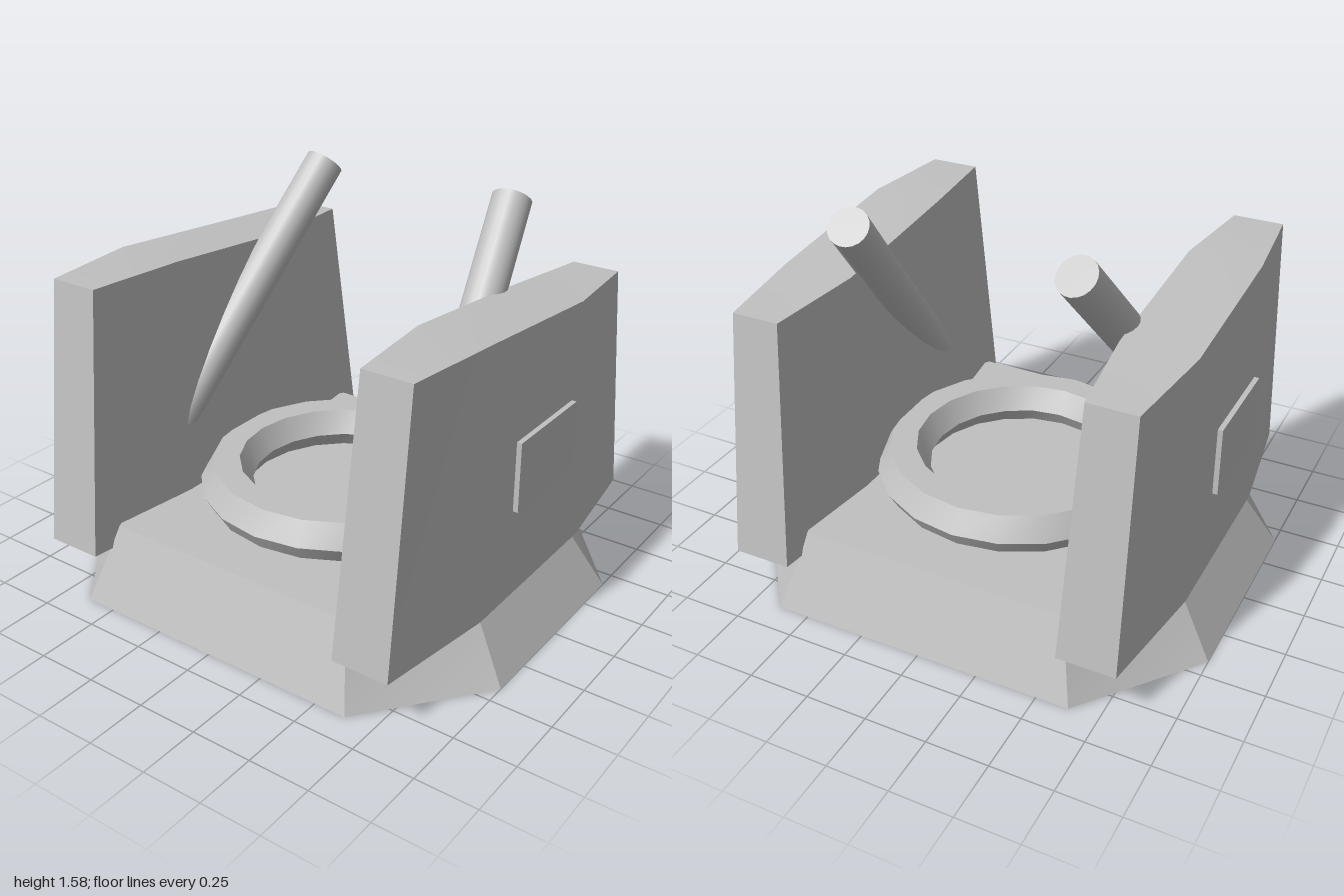
import * as THREE from 'three';
import { toCreasedNormals } from 'three/addons/utils/BufferGeometryUtils.js';

// Solid between two outlines, each a list of rows [z, y, xMin, xMax] from front to back.
function loft(lower, upper, crease) {
  const loop = rows => [
    ...rows.map(([z, y, , x]) => [x, y, z]),
    ...[...rows].reverse().map(([z, y, x]) => [x, y, z]),
  ];
  const n = lower.length * 2;
  const positions = [...loop(lower), ...loop(upper)].flat();
  const index = [];
  const quad = (a, b, c, d) => index.push(a, b, c, a, c, d);
  for (let i = 0; i < n; i++) {
    const j = (i + 1) % n;
    quad(i, j, n + j, n + i);
  }
  for (let i = 0; i < lower.length - 1; i++) {
    const corners = [i, i + 1, n - 2 - i, n - 1 - i];
    quad(...corners.map(k => k + n));
    quad(...[...corners].reverse());
  }
  const geometry = new THREE.BufferGeometry();
  geometry.setAttribute('position', new THREE.Float32BufferAttribute(positions, 3));
  geometry.setIndex(index);
  return toCreasedNormals(geometry, crease);
}

export function createModel() {
  const model = new THREE.Group();
  const grey = new THREE.MeshStandardMaterial({ color: 0xc0c0c0 });
  grey.name = 'plain grey';

  const add = (name, geometry) => {
    const mesh = new THREE.Mesh(geometry, grey);
    mesh.name = name;
    model.add(mesh);
    return mesh;
  };

  // Eight-sided tapered base
  const octagon = (y, x, xEnd, z, zSide) =>
    [[z, xEnd], [zSide, x], [-zSide, x], [-z, xEnd]].map(([pz, px]) => [pz, y, -px, px]);
  add('base', loft(octagon(0, 1, 0.63, 0.88, 0.42), octagon(0.31, 0.81, 0.55, 0.76, 0.34), 0.3));

  // Six-sided ring lying on the base
  const ring = new THREE.TorusGeometry(0.485, 0.108, 6, 20);
  ring.rotateX(-Math.PI / 2);
  add('ring', toCreasedNormals(ring, 0.6)).position.y = 0.375;

  const panelLower = [
    [0.88, 0.22, 0.575, 0.81], [0.38, 0.22, 0.515, 0.88],
    [-0.38, 0.22, 0.515, 0.88], [-0.88, 0.22, 0.575, 0.81],
  ];
  const panelUpper = [
    [0.75, 1.295, 0.6, 0.805], [0.34, 1.295, 0.555, 0.85],
    [-0.34, 1.235, 0.555, 0.85], [-0.75, 1.22, 0.605, 0.8],
  ];

  for (const side of [1, -1]) {
    const label = side > 0 ? 'left' : 'right';
    const mirror = rows => side > 0 ? rows : rows.map(([z, y, a, b]) => [z, y, -b, -a]);

    // Thick side wall, widest in the middle
    add(label + 'Wall', loft(mirror(panelLower), mirror(panelUpper), 0.4));

    // Thin plate standing just off the outer face
    const plate = new THREE.BoxGeometry(0.02, 0.28, 0.42);
    add(label + 'Plate', plate).position.set(side * 0.906, 0.75, 0);

    // Leaning post, its foot buried in the wall
    const top = new THREE.Vector3(side * 0.45, 1.525, -0.485);
    const foot = new THREE.Vector3(side * 0.64, 0.405, 0.515);
    const axis = top.clone().sub(foot);
    const post = add(label + 'Post', new THREE.CylinderGeometry(0.08, 0.08, axis.length(), 20));
    post.position.copy(top).add(foot).multiplyScalar(0.5);
    post.quaternion.setFromUnitVectors(new THREE.Vector3(0, 1, 0), axis.normalize());
  }

  return model;
}
